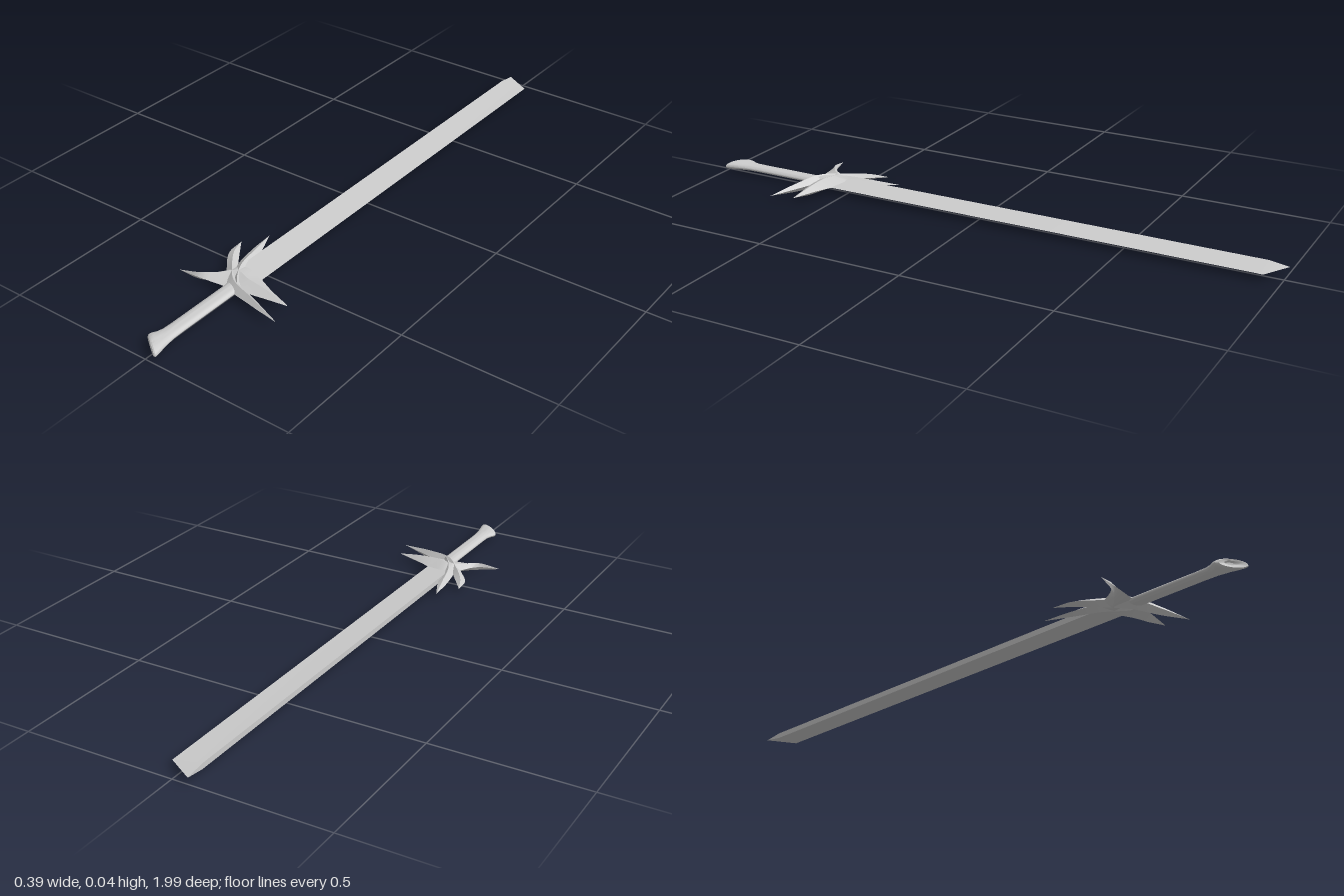
import * as THREE from 'three';
import { toCreasedNormals } from 'three/addons/utils/BufferGeometryUtils.js';

const MID = 0.021; // height of the sword's middle plane
const material = new THREE.MeshStandardMaterial({ color: 0xcccccc });

// Skins a row of rings (arrays of [x, y, z]) and closes both ends.
function loft(rings, crease = 0.6) {
  const n = rings[0].length;
  const pos = rings.flat(2);
  const index = [];
  for (let i = 0; i < rings.length - 1; i++) {
    for (let j = 0; j < n; j++) {
      const a = i * n + j, b = i * n + (j + 1) % n;
      index.push(a, b, a + n, b, b + n, a + n);
    }
  }
  const last = (rings.length - 1) * n;
  for (let j = 1; j < n - 1; j++) {
    index.push(0, j + 1, j, last, last + j, last + j + 1);
  }
  // Turn the faces outward if the enclosed volume is negative.
  const v = (k) => new THREE.Vector3().fromArray(pos, k * 3);
  let volume = 0;
  for (let k = 0; k < index.length; k += 3) {
    volume += v(index[k]).dot(v(index[k + 1]).cross(v(index[k + 2])));
  }
  if (volume < 0) index.reverse();
  const geometry = new THREE.BufferGeometry();
  geometry.setAttribute('position', new THREE.Float32BufferAttribute(pos, 3));
  geometry.setIndex(index);
  return toCreasedNormals(geometry, crease);
}

// Curved, double-edged shard; each row is [edgeX, edgeZ, otherX, otherZ, halfHeight].
function shard(rows, steps = 40) {
  const edge = (o) => new THREE.CatmullRomCurve3(
    rows.map((r) => new THREE.Vector3(r[o], 0, r[o + 1])), false, 'centripetal');
  const ridge = new THREE.CatmullRomCurve3(
    rows.map((r, i) => new THREE.Vector3(i, r[4], 0)), false, 'centripetal');
  const a = edge(0), b = edge(2);
  const rings = [];
  for (let i = 0; i <= steps; i++) {
    const p = a.getPoint(i / steps), q = b.getPoint(i / steps);
    const h = Math.max(0, ridge.getPoint(i / steps).y);
    const x = (p.x + q.x) / 2, z = (p.z + q.z) / 2;
    rings.push([[p.x, MID, p.z], [x, MID + h, z], [q.x, MID, q.z], [x, MID - h, z]]);
  }
  return loft(rings);
}

// Wedge section: flat spine on one side, cutting edge on the other.
function bladeRing(spineZ, edgeZ, half) {
  return [[-0.053, MID + half, spineZ], [0.037, MID, edgeZ], [-0.053, MID - half, spineZ]];
}

// Oval section of the grip; slope slants it across the width.
function gripRing([x, z, rx, ry, slope]) {
  return Array.from({ length: 28 }, (_, j) => {
    const t = (j / 28) * Math.PI * 2;
    const dx = Math.cos(t) * rx;
    return [x + dx, MID + Math.sin(t) * ry, z + dx * slope];
  });
}

export function createModel() {
  const group = new THREE.Group();
  const add = (name, geometry) => {
    const mesh = new THREE.Mesh(geometry, material);
    mesh.name = name;
    group.add(mesh);
  };

  // Single-edged blade with a slanted, bevelled tip
  add('blade', loft([
    bladeRing(0.6, 0.6, 0.009),
    bladeRing(-0.935, -0.94, 0.009),
    bladeRing(-1, -0.947, 0),
  ], 0.15));

  // Grip flaring into a slanted pommel with a shallow dish
  add('grip', loft([
    [-0.007, 0.6, 0.026, 0.011, 0],
    [-0.007, 0.66, 0.025, 0.011, 0],
    [-0.007, 0.86, 0.025, 0.011, 0],
    [-0.007, 0.9, 0.026, 0.0115, 0.2],
    [-0.007, 0.93, 0.032, 0.013, 0.5],
    [-0.007, 0.952, 0.039, 0.015, 0.7],
    [-0.007, 0.964, 0.0405, 0.0155, 0.7],
    [-0.007, 0.969, 0.036, 0.013, 0.7],
    [-0.009, 0.966, 0.02, 0.008, 0.7],
    [-0.009, 0.961, 0.012, 0.004, 0.7],
  ].map(gripRing)));

  // Broad wing across the sword, covering the blade root
  add('guardWing', shard([
    [-0.194, 0.652, -0.194, 0.652, 0],
    [-0.13, 0.648, -0.12, 0.63, 0.012],
    [-0.08, 0.643, -0.08, 0.575, 0.014],
    [-0.03, 0.637, -0.045, 0.51, 0.0185],
    [0.01, 0.632, 0.03, 0.545, 0.02],
    [0.1, 0.617, 0.09, 0.572, 0.014],
    [0.175, 0.605, 0.175, 0.602, 0],
  ]));

  // Long curved horn sweeping diagonally over the wing
  add('guardHorn', shard([
    [-0.143, 0.43, -0.143, 0.43, 0],
    [-0.135, 0.495, -0.1, 0.49, 0.009],
    [-0.085, 0.565, -0.05, 0.555, 0.015],
    [-0.025, 0.635, 0.01, 0.605, 0.0205],
    [0.08, 0.662, 0.09, 0.638, 0.015],
    [0.194, 0.682, 0.194, 0.68, 0],
  ]));

  // Slim thorn beside the blade
  add('guardThorn', shard([
    [-0.095, 0.355, -0.095, 0.355, 0],
    [-0.087, 0.455, -0.058, 0.44, 0.009],
    [-0.065, 0.55, -0.03, 0.535, 0.017],
    [-0.02, 0.615, 0.005, 0.6, 0.02],
    [0.03, 0.645, 0.03, 0.645, 0.002],
  ]));

  return group;
}
